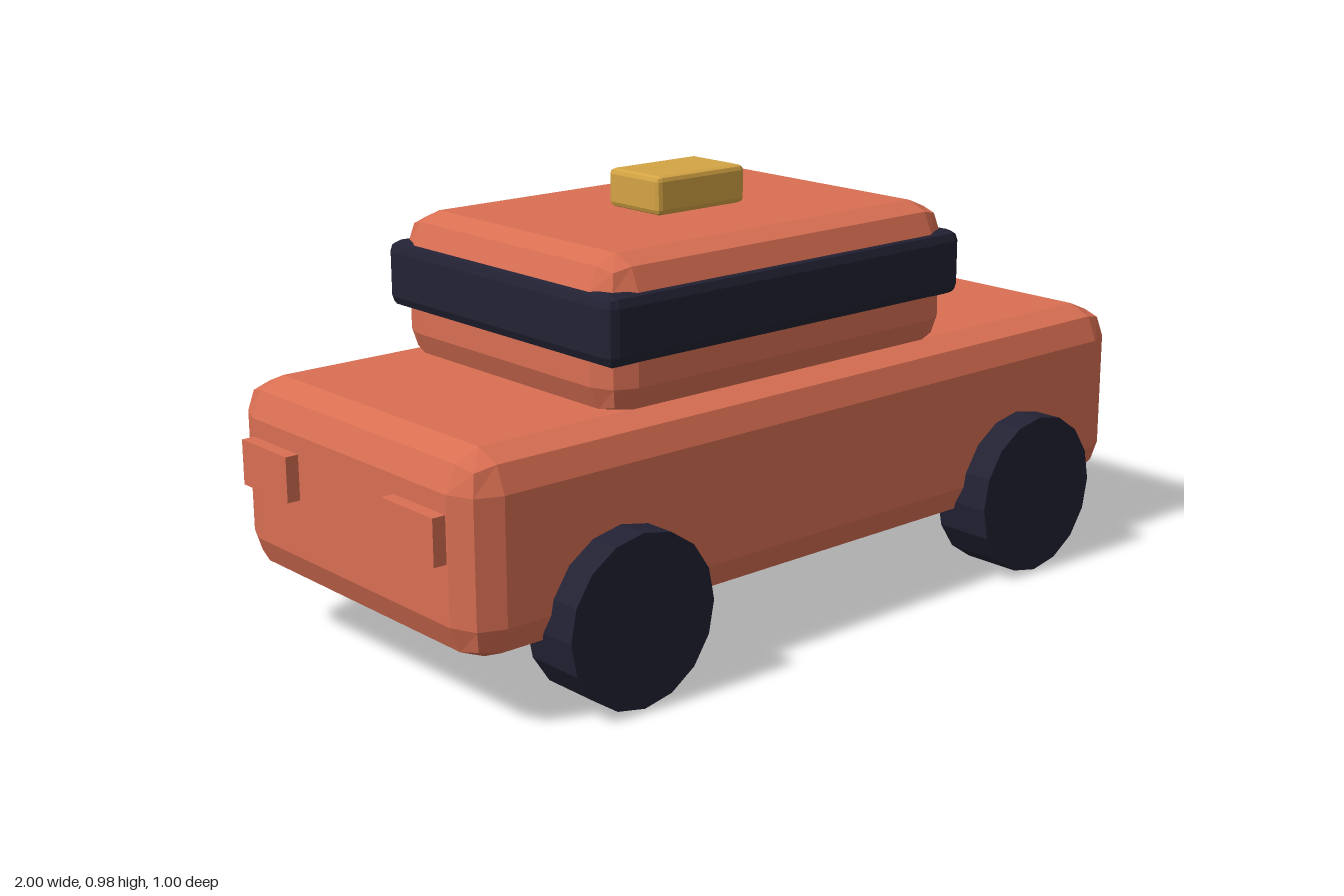
import * as THREE from 'three';
import { RoundedBoxGeometry } from 'three/addons/geometries/RoundedBoxGeometry.js';

const material = (name, color) => {
  const m = new THREE.MeshStandardMaterial({ color, flatShading: true });
  m.name = name;
  return m;
};

export function createModel() {
  const paint = material('coral paint', 0xd96f53);
  const dark = material('dark navy', 0x222234);
  const glass = material('cyan lamp', 0x55b9d2);
  const gold = material('gold', 0xd4a444);

  const car = new THREE.Group();
  car.name = 'car';

  const add = (name, geometry, mat, x, y, z) => {
    const mesh = new THREE.Mesh(geometry, mat);
    mesh.name = name;
    mesh.position.set(x, y, z);
    car.add(mesh);
    return mesh;
  };
  // Box with edges bevelled in two facets
  const bevelBox = (w, h, d, r) => new RoundedBoxGeometry(w, h, d, 1, r);

  // Lower body, cabin, window band and roof sign
  add('body', bevelBox(1.94, 0.43, 0.862, 0.08), paint, 0, 0.361, 0);
  add('cabin', bevelBox(1.0, 0.337, 0.745, 0.07), paint, -0.075, 0.723, 0);
  add('windowBand', bevelBox(1.034, 0.15, 0.776, 0.025), dark, -0.075, 0.75, 0);
  add('roofSign', bevelBox(0.255, 0.086, 0.17, 0.012), gold, -0.075, 0.936, 0);

  // Wheels, and lamps at both ends
  const wheel = new THREE.CylinderGeometry(0.187, 0.187, 0.142, 16).rotateX(Math.PI / 2);
  const lamp = new THREE.BoxGeometry(0.06, 0.1, 0.173);
  for (const side of [1, -1]) {
    for (const end of [1, -1]) {
      add(end > 0 ? 'frontWheel' : 'rearWheel', wheel, dark, 0.605 * end, 0.187, 0.431 * side);
    }
    add('headlight', lamp, glass, 0.97, 0.405, 0.261 * side);
    add('tailLight', lamp, paint, -0.97, 0.405, 0.261 * side);
  }
  return car;
}
